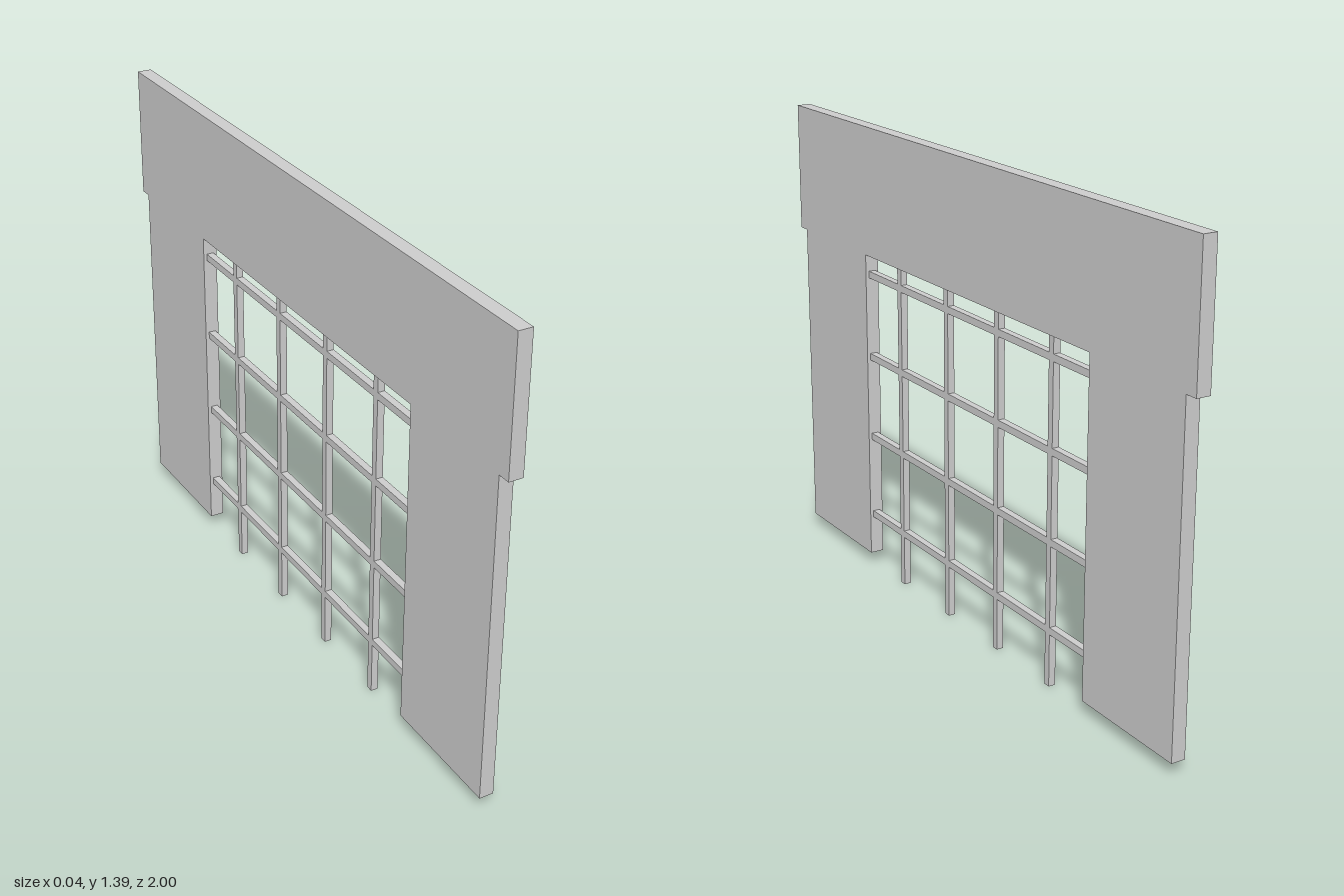
import * as THREE from 'three';

export function createModel() {
  const model = new THREE.Group();
  const material = new THREE.MeshStandardMaterial({ color: 0xcccccc, flatShading: true });

  // Box given by its y and z ranges, centred on x = 0
  function slab(name, thickness, y0, y1, z0, z1, parent) {
    const mesh = new THREE.Mesh(new THREE.BoxGeometry(thickness, y1 - y0, z1 - z0), material);
    mesh.position.set(0, (y0 + y1) / 2, (z0 + z1) / 2);
    mesh.name = name;
    parent.add(mesh);
  }

  // Gate frame: wide lintel on two posts
  const frame = new THREE.Group();
  frame.name = 'frame';
  slab('lintel', 0.042, 1.003, 1.39, -1, 1, frame);
  slab('frontPost', 0.042, 0.037, 1.003, 0.577, 0.962, frame);
  slab('backPost', 0.042, 0.037, 1.003, -0.962, -0.577, frame);

  // Grille: four upright bars crossed by four rails in the same plane
  const grille = new THREE.Group();
  grille.name = 'grille';
  const h = 0.0105;
  for (let i = 0; i < 4; i++) {
    const z = (i - 1.5) * 0.263;
    slab('uprightBar', 2 * h, 0, 1.003, z - h, z + h, grille);
    const y = 0.167 + i * 0.258;
    slab('crossRail', 2 * h, y - h, y + h, -0.577, 0.577, grille);
  }

  model.add(frame, grille);
  return model;
}
